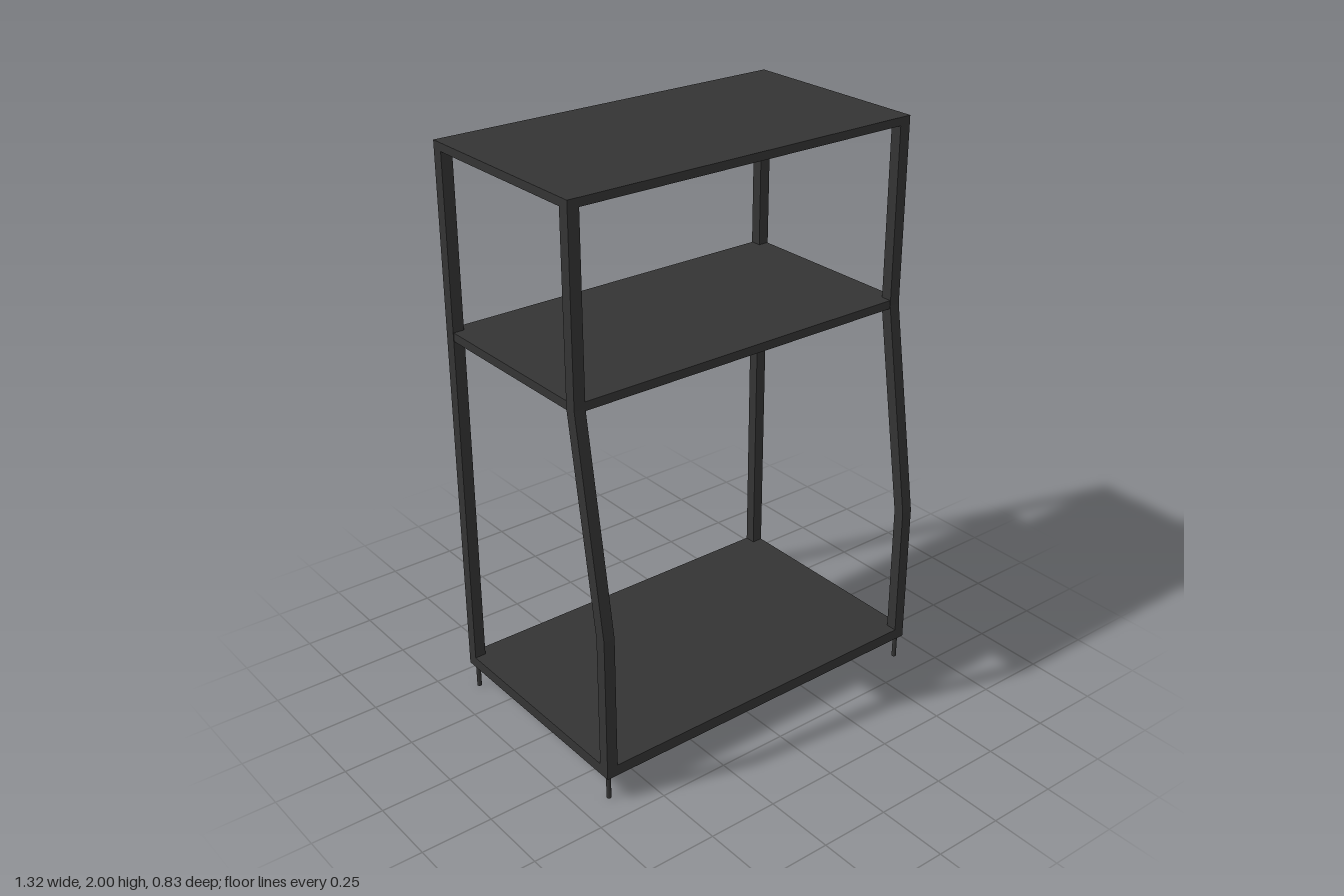
import * as THREE from 'three';

const W = 1.32;          // overall width
const BACK = -0.415;     // rear face
const FRONT = 0.415;     // front face of the base
const UPPER = 0.296;     // front face of the upper part
const T = 0.04;          // tube thickness

export function createModel() {
  const group = new THREE.Group();
  const metal = new THREE.MeshStandardMaterial({ color: 0x343434 });
  metal.name = 'darkMetal';

  const add = (name, geometry, x, y, z) => {
    const mesh = new THREE.Mesh(geometry, metal);
    mesh.name = name;
    mesh.position.set(x, y, z);
    group.add(mesh);
  };

  // Solid shelf between two heights, from the back to a front edge
  const shelf = (name, y0, y1, front, inset = 0) =>
    add(name, new THREE.BoxGeometry(W - 2 * inset, y1 - y0, front - BACK - 2 * inset),
      0, (y0 + y1) / 2, (front + BACK) / 2);

  shelf('bottomShelf', 0.09, 0.13, FRONT);
  shelf('middleShelf', 1.345, 1.375, UPPER, 0.002);
  shelf('topShelf', 1.972, 2, UPPER);

  // Side outline of the bent front post: x is depth, y is height
  const outline = new THREE.Shape([
    [FRONT, 0.13], [FRONT, 0.615], [UPPER, 1.355], [UPPER, 1.972],
    [UPPER - T, 1.972], [UPPER - T, 1.35], [FRONT - T, 0.61], [FRONT - T, 0.13],
  ].map(([z, y]) => new THREE.Vector2(z, y)));
  const frontPost = new THREE.ExtrudeGeometry(outline, { depth: T, bevelEnabled: false });
  frontPost.translate(0, 0, -T / 2).rotateY(-Math.PI / 2);

  const backPost = new THREE.BoxGeometry(T, 1.972 - 0.13, T);
  const foot = new THREE.CylinderGeometry(0.008, 0.008, 0.09, 12);

  // Posts and thin feet on both sides
  for (const [side, s] of [['left', 1], ['right', -1]]) {
    const x = s * (W - T) / 2;
    add(side + 'FrontPost', frontPost, x, 0, 0);
    add(side + 'BackPost', backPost, x, (1.972 + 0.13) / 2, BACK + T / 2);
    add(side + 'FrontFoot', foot, s * 0.643, 0.045, 0.395);
    add(side + 'BackFoot', foot, s * 0.643, 0.045, -0.39);
  }
  return group;
}
